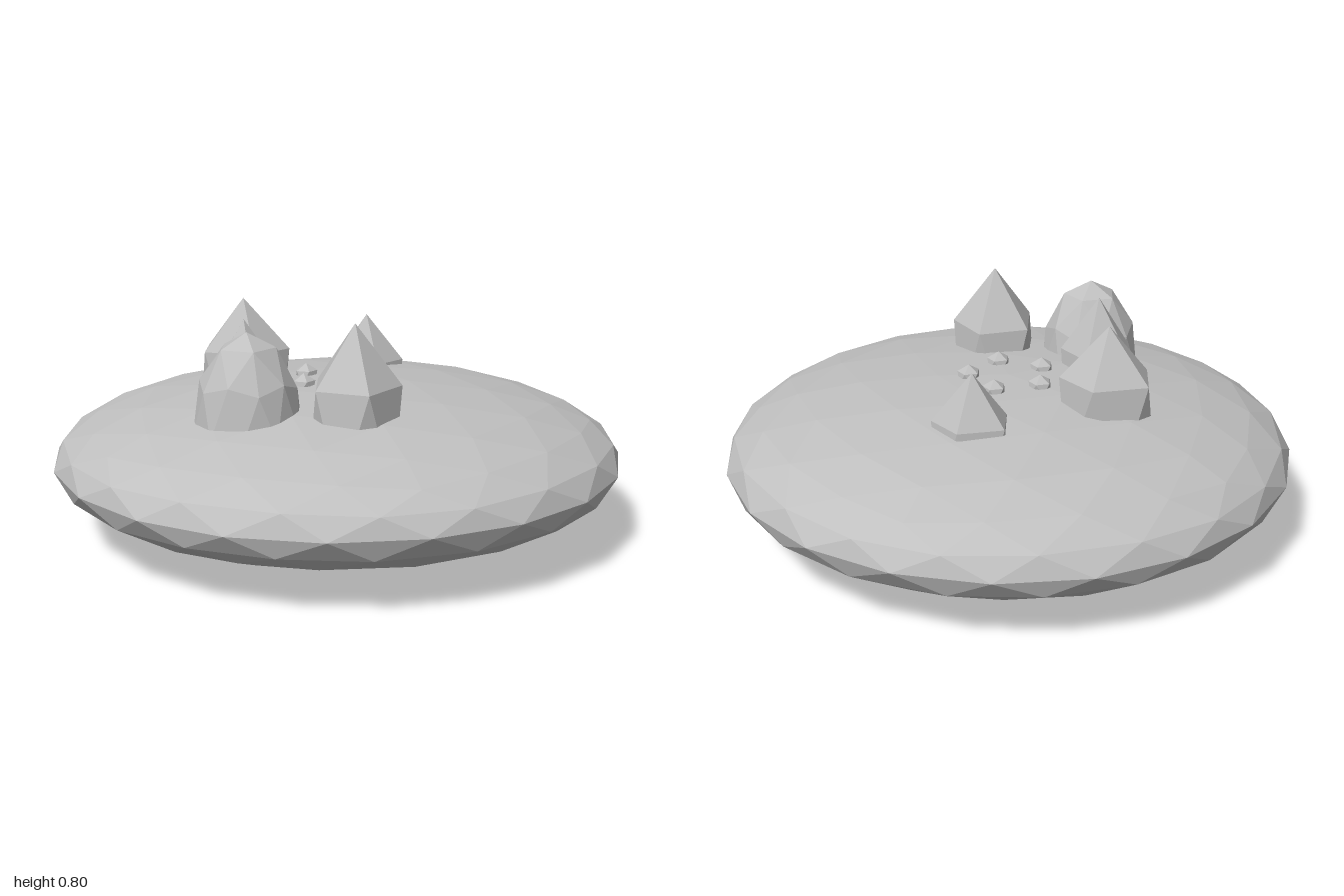
import * as THREE from 'three';

const stone = new THREE.MeshStandardMaterial({ color: 0xbfbfbf, flatShading: true });
stone.name = 'grey stone';

// Faceted ball with a corner pointing straight up and a ring corner toward +x
function facetedBall(name, splits, [x, y, z], [rx, ry, rz]) {
  const geo = new THREE.IcosahedronGeometry(1, splits - 1);
  geo.rotateZ(-Math.atan(2 / (1 + Math.sqrt(5))));
  geo.scale(rx, ry, rz);
  geo.computeVertexNormals();
  const mesh = new THREE.Mesh(geo, stone);
  mesh.name = name;
  mesh.position.set(x, y, z);
  return mesh;
}

export function createModel() {
  const group = new THREE.Group();
  group.name = 'crystalIsland';

  // Flattened island body
  group.add(facetedBall('island', 4, [0, 0.267, 0], [1, 0.265, 1]));

  // Rounded boulder
  group.add(facetedBall('boulder', 2, [-0.285, 0.43, 0.36], [0.185, 0.335, 0.175]));

  // Large pointed crystals: centre, radii
  const crystals = [
    [[0.07, 0.43, 0.382], [0.173, 0.37, 0.185]],
    [[-0.345, 0.45, -0.182], [0.185, 0.335, 0.156]],
    [[-0.313, 0.42, 0.153], [0.148, 0.35, 0.147]],
    [[0.1, 0.38, -0.385], [0.152, 0.31, 0.124]],
  ];
  crystals.forEach(([p, r], i) => group.add(facetedBall('crystal' + (i + 1), 1, p, r)));

  // Ring of five pebbles around the middle
  for (let i = 0; i < 5; i++) {
    const a = (i * Math.PI * 2) / 5;
    group.add(facetedBall('pebble' + (i + 1), 1,
      [0.14 * Math.cos(a), 0.522, 0.14 * Math.sin(a)], [0.045, 0.045, 0.045]));
  }
  return group;
}
